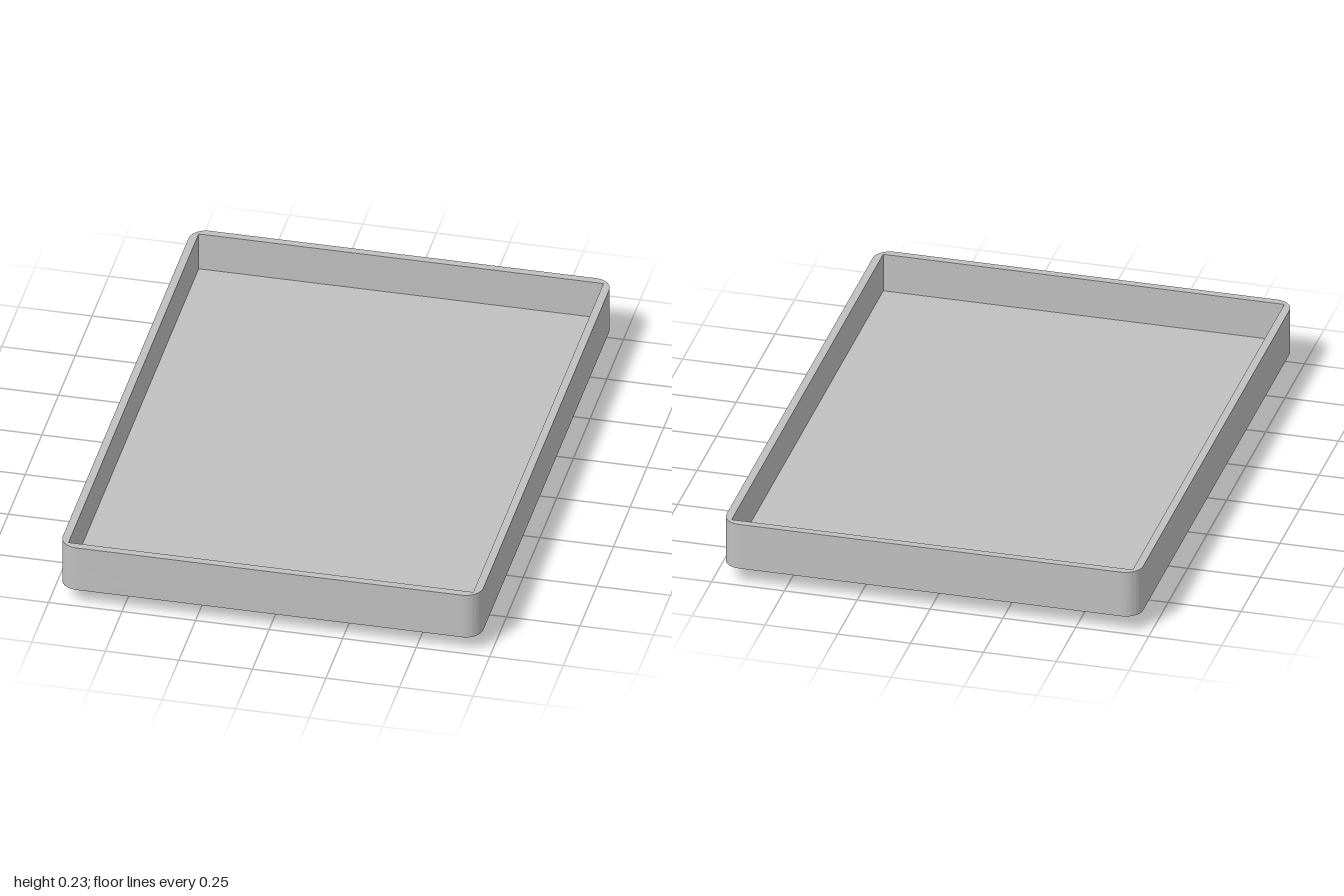
import * as THREE from 'three';
import { toCreasedNormals } from 'three/addons/utils/BufferGeometryUtils.js';

const HALF_W = 0.715, HALF_L = 1, CORNER = 0.06;
const WALL = 0.027, FLOOR = 0.028, BASE_Y = 0.063, TOP_Y = 0.228;

function rectPoints(hw, hl) {
  return [[-hw, -hl], [hw, -hl], [hw, hl], [-hw, hl]].map(([x, y]) => new THREE.Vector2(x, y));
}

// Rectangle with rounded corners
function roundedRect(hw, hl, r) {
  const s = new THREE.Shape();
  s.absarc(hw - r, hl - r, r, 0, Math.PI / 2);
  s.absarc(-hw + r, hl - r, r, Math.PI / 2, Math.PI);
  s.absarc(-hw + r, -hl + r, r, Math.PI, Math.PI * 1.5);
  s.absarc(hw - r, -hl + r, r, Math.PI * 1.5, Math.PI * 2);
  s.closePath();
  return s;
}

// Extrude a plan outline upwards from y0 to y1
function slab(name, shape, y0, y1, material) {
  const geo = new THREE.ExtrudeGeometry(shape, { depth: y1 - y0, bevelEnabled: false, curveSegments: 16 });
  geo.rotateX(-Math.PI / 2);
  geo.translate(0, y0, 0);
  const mesh = new THREE.Mesh(toCreasedNormals(geo, Math.PI / 6), material);
  mesh.name = name;
  return mesh;
}

export function createModel() {
  const grey = new THREE.MeshStandardMaterial({ color: 0xc0c0c0 });
  grey.name = 'plain grey';
  const group = new THREE.Group();
  group.name = 'tray';

  // Tray floor
  group.add(slab('trayFloor', roundedRect(HALF_W, HALF_L, CORNER), BASE_Y, BASE_Y + FLOOR, grey));

  // Rim wall: rounded outside, square inside corners
  const rim = roundedRect(HALF_W, HALF_L, CORNER);
  rim.holes.push(new THREE.Path(rectPoints(HALF_W - WALL, HALF_L - WALL)));
  group.add(slab('rimWall', rim, BASE_Y + FLOOR, TOP_Y, grey));

  // Mounting block underneath with two blind screw holes
  const block = new THREE.Shape(rectPoints(0.152, 0.205));
  for (const z of [-0.08, 0.08]) {
    const hole = new THREE.Path();
    hole.absarc(0, z, 0.02, 0, Math.PI * 2, true);
    block.holes.push(hole);
  }
  group.add(slab('mountingBlock', block, 0, BASE_Y, grey));

  return group;
}
